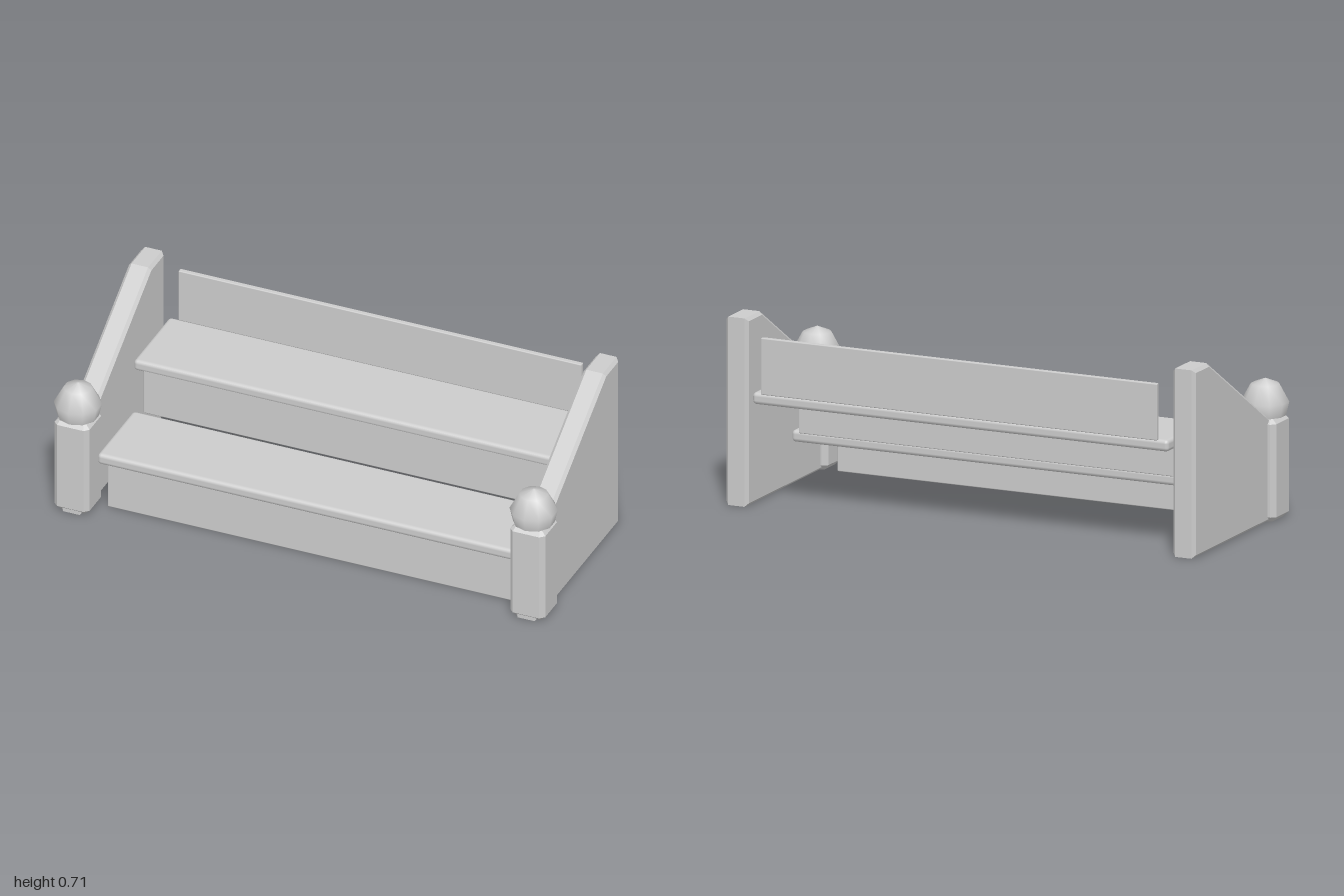
import * as THREE from 'three';
import { RoundedBoxGeometry } from 'three/addons/geometries/RoundedBoxGeometry.js';

export function createModel() {
  const model = new THREE.Group();
  model.name = 'shortStaircase';
  const stone = new THREE.MeshStandardMaterial({ color: 0xcccccc });
  stone.name = 'light grey';

  const add = (name, geometry, x, y, z) => {
    const mesh = new THREE.Mesh(geometry, stone);
    mesh.name = name;
    mesh.position.set(x, y, z);
    model.add(mesh);
    return mesh;
  };

  // Extrusion with a single chamfer; the bevel stays inside the given outline and depth
  const chamfered = (points, depth, bevel) => {
    const shape = new THREE.Shape(points.map(([a, b]) => new THREE.Vector2(a, b)));
    const geometry = new THREE.ExtrudeGeometry(shape, {
      depth: depth - 2 * bevel, bevelEnabled: true, bevelSegments: 1,
      bevelThickness: bevel, bevelSize: bevel, bevelOffset: -bevel,
    });
    return geometry.translate(0, 0, bevel - depth / 2);
  };

  // Sloped side panel, drawn as (z, y)
  const panel = chamfered(
    [[-0.38, 0], [0.37, 0], [0.37, 0.32], [-0.255, 0.71], [-0.38, 0.71]], 0.09, 0.012
  ).rotateY(-Math.PI / 2);

  // Square post with cut corners, chamfered at top and bottom
  const h = 0.07, c = 0.053;
  const post = chamfered(
    [[-h, -c], [-c, -h], [c, -h], [h, -c], [h, c], [c, h], [-c, h], [-h, c]], 0.39, 0.02
  ).rotateX(-Math.PI / 2);

  // Faceted finial with a flat base
  const finial = new THREE.LatheGeometry(
    [[0, 0.388], [0.077, 0.388], [0.077, 0.388], [0.089, 0.44], [0.053, 0.506], [0, 0.527]]
      .map(([r, y]) => new THREE.Vector2(r, y)), 10);

  for (const [side, s] of [['left', 1], ['right', -1]]) {
    add(side + 'SidePanel', panel, s * 0.908, 0, 0);
    add(side + 'Post', post, s * 0.91, 0.195, 0.305);
    add(side + 'Finial', finial, s * 0.91, 0, 0.304);
  }

  // Treads, wider than the risers
  const tread = new RoundedBoxGeometry(1.69, 0.045, 0.33, 2, 0.015);
  add('lowerTread', tread, 0, 0.197, 0.115);
  add('upperTread', tread, 0, 0.412, -0.215);

  // Risers
  const riser = new RoundedBoxGeometry(1.61, 0.214, 0.02, 1, 0.004);
  [['lowerRiser', 0.265], ['middleRiser', -0.062], ['upperRiser', -0.38]].forEach(([name, z], i) => {
    add(name, riser, 0, 0.107 + i * 0.216, z);
  });

  return model;
}
